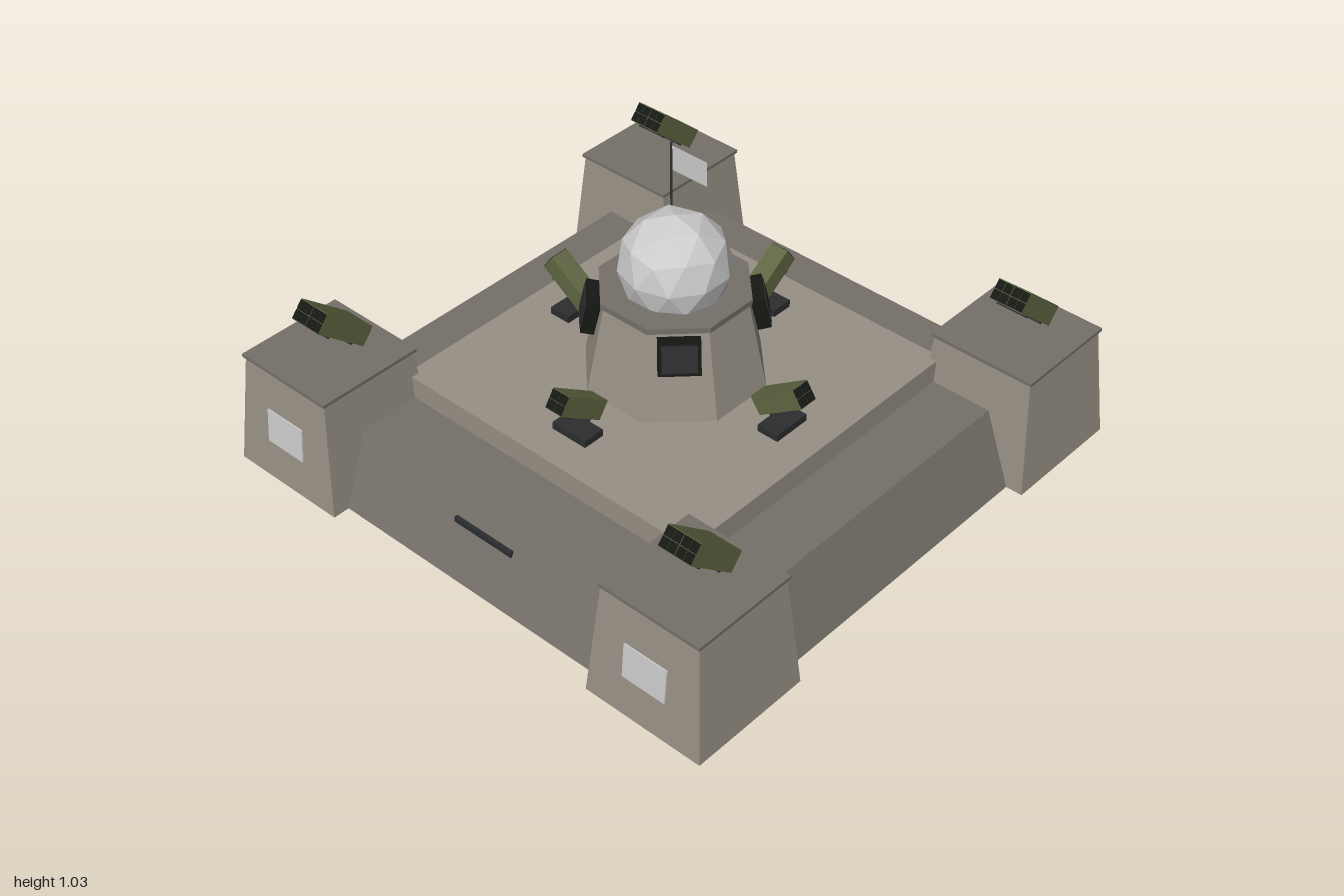
import * as THREE from 'three';

const mat = (color, extra = {}) => new THREE.MeshStandardMaterial({ color, flatShading: true, ...extra });
const concrete = mat(0x979085);
const darkConcrete = mat(0x757169);
const olive = mat(0x5f6642);
const dark = mat(0x2c2d30);
const black = mat(0x161814);
const grey = mat(0xcccccc);
const cloth = mat(0xcccccc, { side: THREE.DoubleSide });

function add(parent, name, geometry, material, x = 0, y = 0, z = 0) {
  const mesh = new THREE.Mesh(geometry, material);
  mesh.name = name;
  mesh.position.set(x, y, z);
  parent.add(mesh);
  return mesh;
}

const box = (parent, name, material, w, h, d, x, y, z) =>
  add(parent, name, new THREE.BoxGeometry(w, h, d), material, x, y, z);

// Tapered prism standing on y0, sized by the distance from its axis to its flat sides
function prism(parent, name, material, sides, bottom, top, y0, y1, x = 0, z = 0) {
  const k = 1 / Math.cos(Math.PI / sides);
  const geometry = new THREE.CylinderGeometry(top * k, bottom * k, y1 - y0, sides);
  geometry.rotateY(Math.PI / sides);
  return add(parent, name, geometry, material, x, (y0 + y1) / 2, z);
}

// Raised box launcher whose muzzle points along its own +z
function launcher(parent, name, { x, y, z, yaw, tilt, tubes, tubeWidth, height, length }) {
  const mount = new THREE.Group();
  mount.name = name;
  mount.position.set(x, y, z);
  mount.rotation.y = yaw;
  parent.add(mount);
  const body = new THREE.Group();
  body.name = name + 'Body';
  body.rotation.x = -tilt;
  mount.add(body);
  const width = tubes * tubeWidth;
  for (let i = 0; i < tubes; i++) {
    const tx = (i - (tubes - 1) / 2) * tubeWidth;
    box(body, 'launchBox', olive, tubeWidth - 0.003, height, length, tx, 0, 0);
    // Four dark muzzle covers on each box
    for (const sx of [-1, 1]) for (const sy of [-1, 1]) {
      box(body, 'muzzleCover', black, tubeWidth * 0.45, height * 0.45, 0.004,
        tx + sx * tubeWidth * 0.24, sy * height * 0.24, length / 2);
    }
  }
  // Clamping bars underneath
  for (const s of [-1, 1]) {
    box(body, 'clampBar', dark, width * 0.9, 0.008, 0.012, 0, -height / 2 - 0.002, s * length * 0.25);
  }
  return mount;
}

export function createModel() {
  const model = new THREE.Group();
  model.name = 'fortress';

  // Sloped outer wall and raised deck
  prism(model, 'outerWall', darkConcrete, 4, 0.94, 0.83, 0, 0.245);
  box(model, 'deck', concrete, 1.22, 0.085, 1.22, 0, 0.2825, 0);
  box(model, 'frontSlot', dark, 0.245, 0.02, 0.02, 0, 0.17, 0.862);

  // Corner towers with caps and launchers
  for (const sx of [-1, 1]) for (const sz of [-1, 1]) {
    const x = sx * 0.777, z = sz * 0.777;
    prism(model, 'cornerTower', concrete, 4, 0.223, 0.187, 0, 0.415, x, z);
    box(model, 'towerCap', darkConcrete, 0.39, 0.012, 0.39, x, 0.419, z);
    launcher(model, 'towerLauncher', {
      x, y: 0.525, z: z - 0.026, yaw: 0, tilt: 0.7,
      tubes: 2, tubeWidth: 0.063, height: 0.071, length: 0.226,
    });
    if (sz > 0) {
      const plate = box(model, 'frontPlate', grey, 0.165, 0.122, 0.008, x, 0.205, 0.984);
      plate.rotation.x = -0.086;
    }
  }

  // Deck launchers pointing outward on four sides
  for (let i = 0; i < 4; i++) {
    const yaw = i * Math.PI / 2;
    const x = Math.sin(yaw) * 0.45, z = Math.cos(yaw) * 0.45;
    const mount = launcher(model, 'deckLauncher', {
      x, y: 0.438, z, yaw, tilt: 0.6,
      tubes: 1, tubeWidth: 0.072, height: 0.068, length: 0.2,
    });
    box(mount, 'launcherBase', dark, 0.14, 0.026, 0.08, 0, -0.1, 0);
  }

  // Central octagonal tower
  prism(model, 'centralTower', concrete, 8, 0.285, 0.226, 0.325, 0.64);
  prism(model, 'centralCap', darkConcrete, 8, 0.237, 0.237, 0.635, 0.655);

  // Sensor panels on three diagonal faces
  for (const yaw of [-Math.PI / 4, Math.PI / 4, Math.PI * 3 / 4]) {
    const arm = new THREE.Group();
    arm.name = 'sensorPanel';
    arm.rotation.y = yaw;
    model.add(arm);
    const frame = box(arm, 'panelFrame', black, 0.135, 0.115, 0.045, 0, 0.572, 0.268);
    frame.rotation.x = -0.22;
    box(frame, 'panelFace', dark, 0.112, 0.094, 0.006, 0, 0, 0.023);
  }

  // Faceted dome with a vertex at its top
  const dome = new THREE.IcosahedronGeometry(0.185, 1);
  dome.rotateZ(-Math.atan(2 / (1 + Math.sqrt(5))));
  add(model, 'radarDome', dome, grey, 0, 0.73, 0);

  // Flag on its pole
  add(model, 'flagPole', new THREE.CylinderGeometry(0.004, 0.004, 0.385, 6), dark, -0.163, 0.8375, -0.163);
  add(model, 'flag', new THREE.PlaneGeometry(0.147, 0.09), cloth, -0.088, 0.974, -0.163);

  return model;
}
